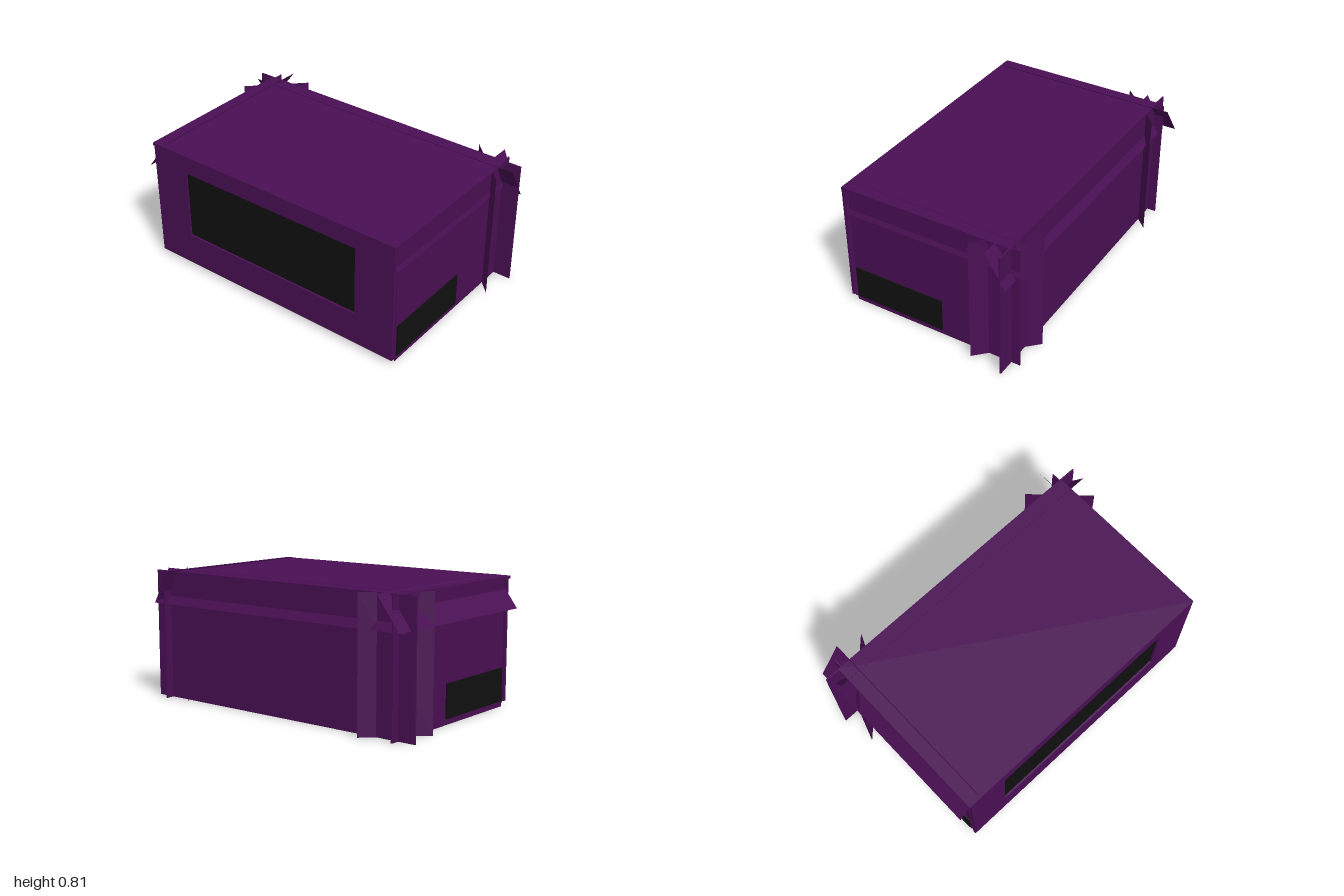
import * as THREE from 'three';

const purple = new THREE.MeshStandardMaterial({ color: 0x4a0f54, side: THREE.DoubleSide });
const black = new THREE.MeshStandardMaterial({ color: 0x101010 });

export function createModel() {
  const group = new THREE.Group();

  const add = (name, geometry, material = purple) => {
    const mesh = new THREE.Mesh(geometry, material);
    mesh.name = name;
    group.add(mesh);
    return mesh;
  };

  // Box given by its lower and upper corners
  const box = (name, [x0, y0, z0], [x1, y1, z1], material) =>
    add(name, new THREE.BoxGeometry(x1 - x0, y1 - y0, z1 - z0), material)
      .position.set((x0 + x1) / 2, (y0 + y1) / 2, (z0 + z1) / 2);

  // Flat sheet through four corners in order
  const sheet = (name, a, b, c, d) => {
    const g = new THREE.BufferGeometry();
    g.setAttribute('position', new THREE.Float32BufferAttribute([...a, ...b, ...c, ...d], 3));
    g.setIndex([0, 1, 2, 0, 2, 3]);
    g.computeVertexNormals();
    return add(name, g);
  };

  // Roof and floor
  box('roof', [-0.62, 0.79, -0.907], [0.505, 0.808, 0.897]);
  box('floor', [-0.6, 0.02, -0.885], [0.5, 0.035, 0.885]);

  // Right wall, running past both corners as fins
  box('rightWall', [0.495, 0, -1], [0.505, 0.808, 1]);

  // Left wall with a window opening and a dark pane set into it
  const outline = new THREE.Shape();
  outline.moveTo(-0.895, 0.03).lineTo(0.895, 0.03).lineTo(0.895, 0.805).lineTo(-0.895, 0.805).closePath();
  const opening = new THREE.Path();
  opening.moveTo(-0.64, 0.24).lineTo(-0.64, 0.69).lineTo(0.63, 0.69).lineTo(0.63, 0.24).closePath();
  outline.holes.push(opening);
  const leftWall = add('leftWall', new THREE.ExtrudeGeometry(outline, { depth: 0.02, bevelEnabled: false }));
  leftWall.rotation.y = -Math.PI / 2;
  leftWall.position.x = -0.6;
  box('windowPane', [-0.608, 0.23, -0.65], [-0.6, 0.7, 0.64], black);

  // End walls, low dark panels and diagonal corner sheets, front and back
  for (const [side, s] of [['front', 1], ['back', -1]]) {
    const z = [0.88 * s, 0.888 * s].sort((a, b) => a - b);
    box(side + 'Wall', [-0.58, 0, z[0]], [0.56, 0.808, z[1]]);
    const p = [0.884 * s, 0.896 * s].sort((a, b) => a - b);
    box(side + 'Panel', [-0.57, 0.035, p[0]], [0.04, 0.245, p[1]], black);
    sheet(side + 'CornerSheet',
      [0.28, 0, 0.965 * s], [0.58, 0, 0.665 * s], [0.58, 0.808, 0.665 * s], [0.28, 0.808, 0.965 * s]);
  }

  // Sloping awnings, starting just above the roof and coming out through the walls
  sheet('frontAwning', [-0.6, 0.635, 0.9], [0.61, 0.635, 0.9], [0.61, 0.815, 0.825], [-0.6, 0.815, 0.825]);
  sheet('backAwning', [0.615, 0.615, -0.97], [-0.6, 0.615, -0.97], [-0.6, 0.815, -0.82], [0.615, 0.815, -0.82]);
  sheet('rightAwning', [0.535, 0.6, 1], [0.535, 0.6, -0.96], [0.41, 0.812, -0.96], [0.41, 0.812, 1]);

  return group;
}
